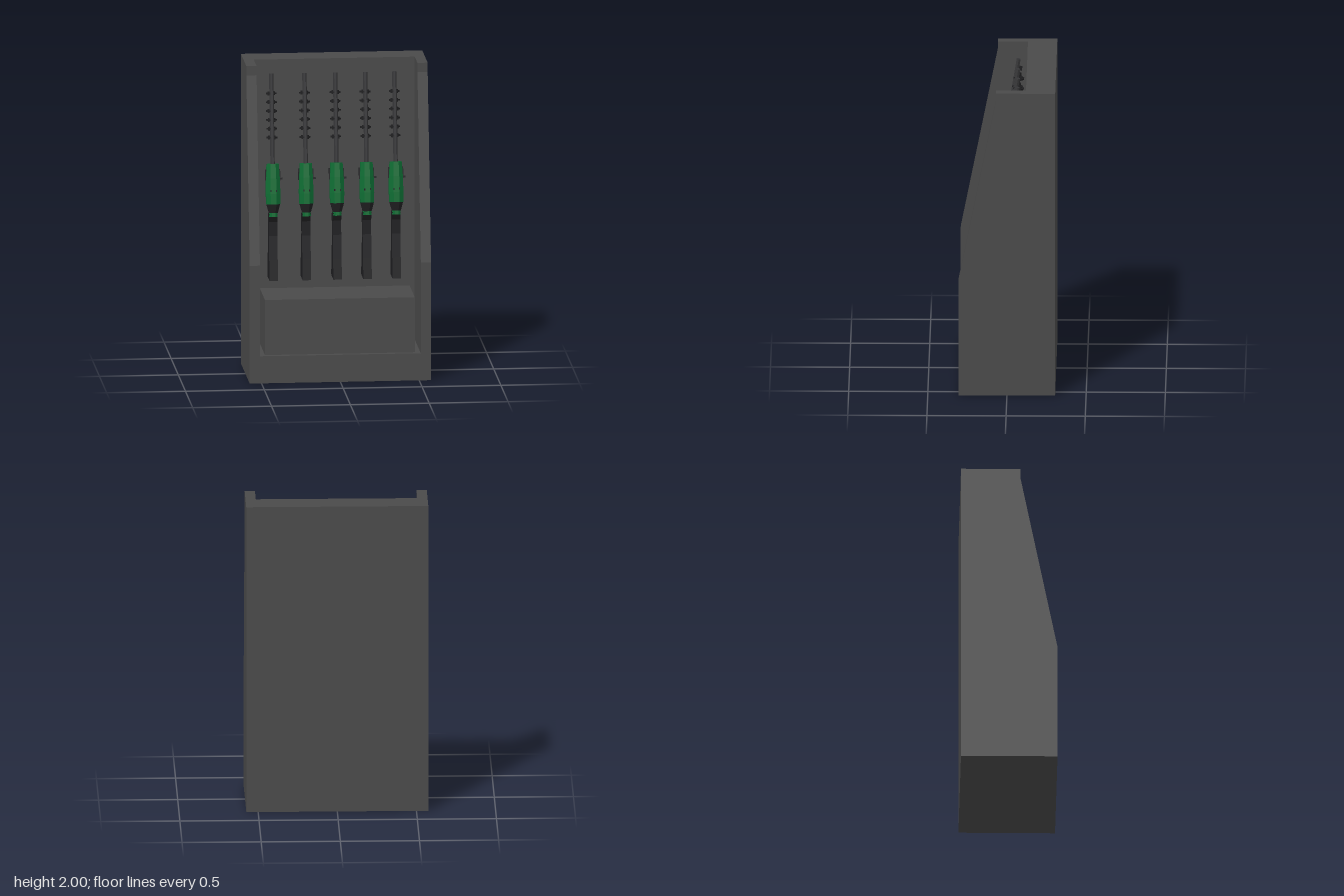
import * as THREE from 'three';

const mat = (name, color) => Object.assign(new THREE.MeshStandardMaterial({ color }), { name });

export function createModel() {
  const grey = mat('cabinet grey', 0x4a4a4a);
  const black = mat('stock black', 0x1e1e20);
  const steel = mat('barrel steel', 0x363638);
  const green = mat('body green', 0x0d6a32);

  const model = new THREE.Group();
  model.name = 'rifleRack';

  function add(parent, name, geo, material, x = 0, y = 0, z = 0) {
    const m = new THREE.Mesh(geo, material);
    m.name = name;
    m.position.set(x, y, z);
    parent.add(m);
    return m;
  }
  const box = (parent, name, material, w, h, d, x, y, z) =>
    add(parent, name, new THREE.BoxGeometry(w, h, d), material, x, y, z);

  // Faceted tube along y with flats facing front and sides
  function prism(rTop, rBottom, h, sides) {
    const g = new THREE.CylinderGeometry(rTop, rBottom, h, sides);
    g.rotateY(Math.PI / sides);
    const flat = g.toNonIndexed();
    flat.computeVertexNormals();
    return flat;
  }
  // Extrude a side outline given as [z, y], centred on x = 0
  function sidePlate(points, width) {
    const shape = new THREE.Shape(points.map(([z, y]) => new THREE.Vector2(-z, y)));
    const g = new THREE.ExtrudeGeometry(shape, { depth: width, bevelEnabled: false });
    g.translate(0, 0, -width / 2);
    return g.rotateY(Math.PI / 2);
  }

  // Cabinet
  const cabinet = new THREE.Group();
  cabinet.name = 'cabinet';
  model.add(cabinet);
  const profile = [[-0.305, 0], [0.305, 0], [0.305, 0.76], [0.07, 1.94], [0.07, 2], [-0.305, 2]];
  for (const s of [-1, 1]) {
    add(cabinet, s > 0 ? 'leftSide' : 'rightSide', sidePlate(profile, 0.065), grey, s * 0.5425);
  }
  box(cabinet, 'backWall', grey, 1.02, 2, 0.185, 0, 1, -0.2125);
  box(cabinet, 'base', grey, 1.02, 0.175, 0.425, 0, 0.0875, 0.0925);
  box(cabinet, 'plinth', grey, 0.95, 0.355, 0.36, 0, 0.3525, 0.09);

  // One rifle, leaning back against the wall
  function createRifle() {
    const rifle = new THREE.Group();
    rifle.name = 'rifle';
    const upper = new THREE.Group();
    upper.name = 'upperAssembly';
    upper.position.set(0, 1.92, -0.063);
    upper.rotation.x = -0.165;
    rifle.add(upper);

    // Barrel, lower tube and front sight
    add(upper, 'barrel', prism(0.014, 0.014, 0.6, 6), steel, 0, -0.3, 0);
    add(upper, 'lowerTube', prism(0.011, 0.011, 0.49, 6), black, 0, -0.335, -0.024);
    box(upper, 'frontSight', black, 0.006, 0.03, 0.02, 0, -0.06, -0.022);

    // Cooling fins
    for (let i = 0; i < 6; i++) {
      const y = -0.125 - i * 0.056;
      add(upper, 'fin', prism(0.036, 0.036, 0.01, 8), black, 0, y, -0.022);
      add(upper, 'finCollar', prism(0.025, 0.025, 0.024, 8), black, 0, y, -0.02);
    }

    // Body: three tapering octagonal sections
    const sections = [[0.041, 0.047, 0.09, -0.57], [0.047, 0.049, 0.1, -0.66], [0.049, 0.047, 0.065, -0.76]];
    for (const [a, b, h, top] of sections) {
      add(upper, 'body', prism(a, b, h, 8), green, 0, top - h / 2, 0);
    }
    for (const s of [-1, 1]) {
      box(upper, 'rearSight', black, 0.006, 0.012, 0.02, s * 0.018, -0.74, 0.05);
      box(upper, 'sideVent', black, 0.008, 0.07, 0.02, s * 0.044, -0.64, -0.01);
    }
    box(upper, 'bolt', black, 0.02, 0.012, 0.012, 0.051, -0.665, 0.01);

    // Neck with a green ring
    add(upper, 'neck', prism(0.046, 0.03, 0.055, 8), black, 0, -0.8525, 0);
    add(upper, 'neckRing', prism(0.029, 0.029, 0.025, 8), green, 0, -0.8925, -0.004);

    // Shoulder stock with a notched grip
    const outline = [[0.117, 0.62], [0.095, 0.75], [0.07, 0.9], [0.065, 0.99], [0.095, 1.045],
      [0.035, 1.045], [-0.008, 1.02], [0.004, 0.96], [0.02, 0.91], [-0.04, 0.63], [-0.03, 0.62]];
    add(rifle, 'stock', sidePlate(outline.reverse(), 0.054), black);
    return rifle;
  }

  for (const x of [-0.405, -0.195, 0, 0.19, 0.375]) {
    const rifle = createRifle();
    rifle.position.x = x;
    model.add(rifle);
  }
  return model;
}
